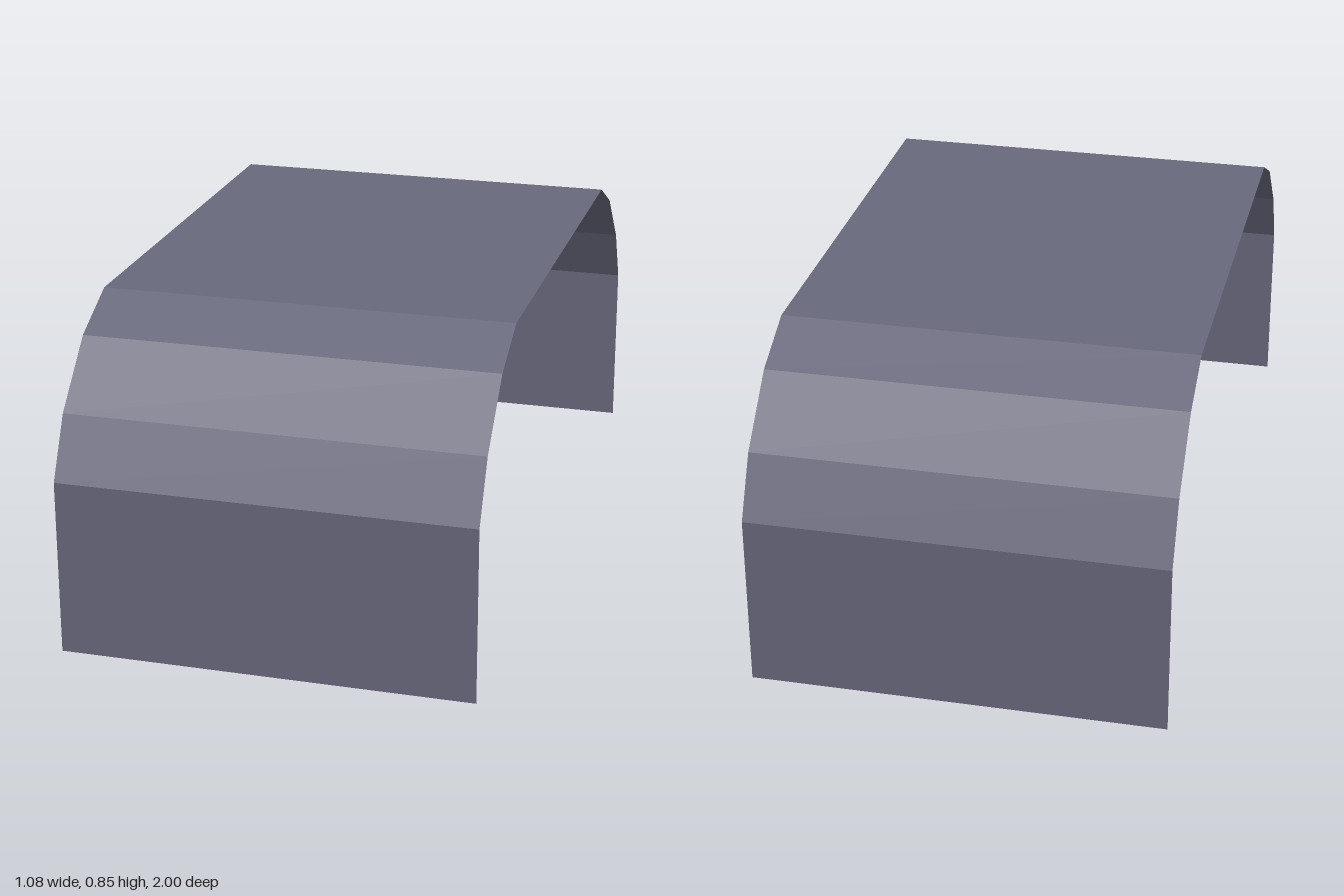
import * as THREE from 'three';

export function createModel() {
  const group = new THREE.Group();
  group.name = 'archCover';
  const greyMetal = new THREE.MeshStandardMaterial({
    color: 0x69697d, flatShading: true, side: THREE.DoubleSide,
  });
  greyMetal.name = 'blue grey';

  // Half profile as [z, y], from the front foot up to the flat roof
  const front = [[1, 0], [1, 0.463], [0.922, 0.618], [0.77, 0.772], [0.614, 0.848]];
  const back = front.map(([z, y]) => [-z, y]);
  const profile = [...back, ...front.reverse()];

  // Thin folded sheet: each row of a plane follows one profile point
  const sheet = new THREE.PlaneGeometry(1.076, 1, 1, profile.length - 1);
  const pos = sheet.attributes.position;
  for (let i = 0; i < pos.count; i++) {
    const [z, y] = profile[Math.floor(i / 2)];
    pos.setXYZ(i, pos.getX(i), y, z);
  }
  const geometry = sheet.toNonIndexed();
  geometry.computeVertexNormals();

  const cover = new THREE.Mesh(geometry, greyMetal);
  cover.name = 'foldedSheet';
  group.add(cover);
  return group;
}
